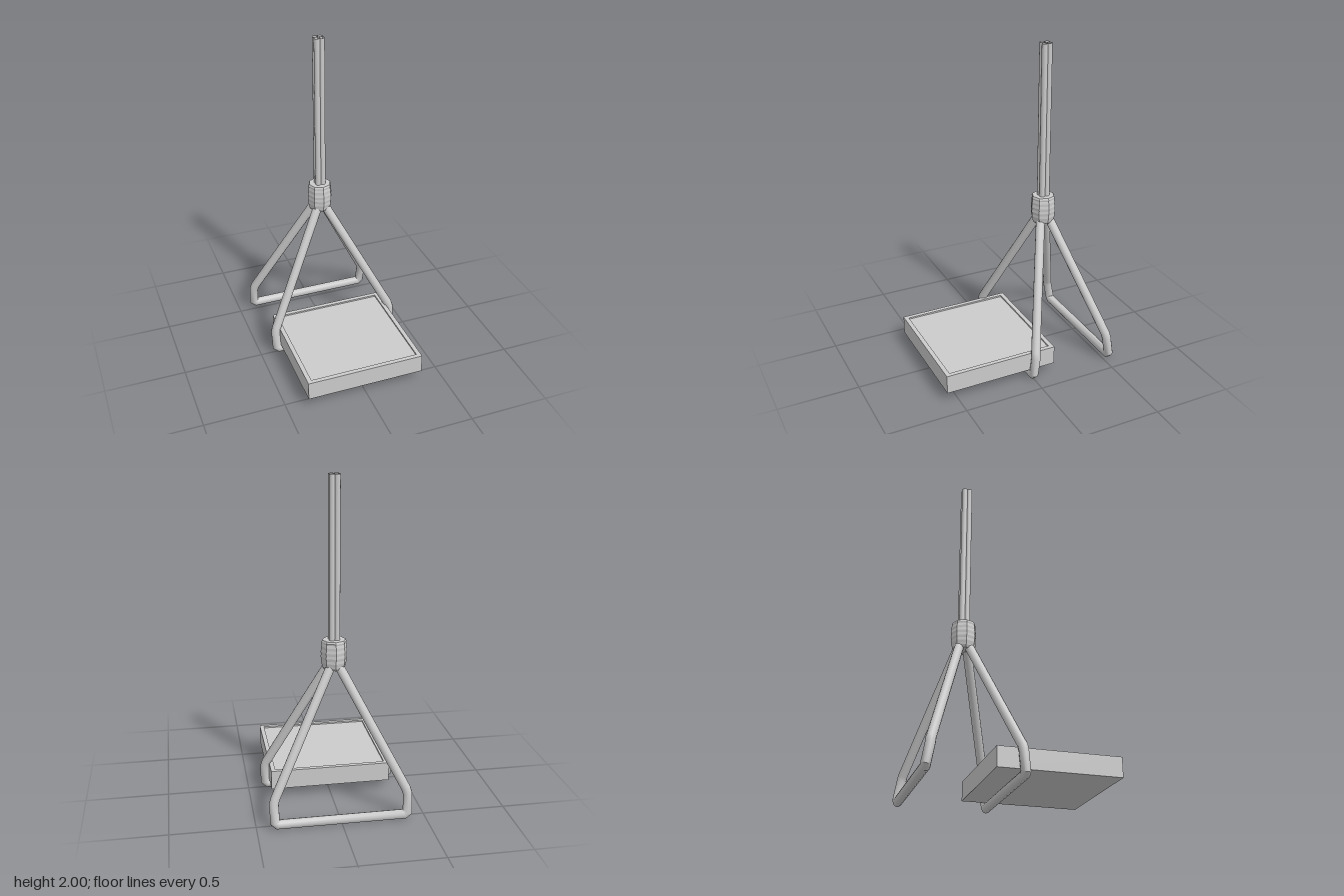
import * as THREE from 'three';
import { toCreasedNormals } from 'three/addons/utils/BufferGeometryUtils.js';

const material = new THREE.MeshStandardMaterial({ color: 0xcccccc, side: THREE.DoubleSide });
const flatMaterial = new THREE.MeshStandardMaterial({ color: 0xcccccc, flatShading: true });
const AXIS_Z = -0.255;

function add(parent, name, geometry, mat = material) {
  const mesh = new THREE.Mesh(geometry, mat);
  mesh.name = name;
  parent.add(mesh);
  return mesh;
}

// Round bar along a polyline, with mitred corners
function mitredTube(points, radius, sides = 12) {
  const dirs = points.slice(1).map((p, i) => p.clone().sub(points[i]).normalize());
  const u = new THREE.Vector3(0, 0, 1).cross(dirs[0]).normalize();
  const w = dirs[0].clone().cross(u);
  let ring = [];
  for (let j = 0; j < sides; j++) {
    const a = (j / sides) * Math.PI * 2;
    ring.push(points[0].clone().addScaledVector(u, radius * Math.cos(a)).addScaledVector(w, radius * Math.sin(a)));
  }
  const position = [], index = [];
  ring.forEach(v => position.push(v.x, v.y, v.z));
  dirs.forEach((dir, i) => {
    // slide the ring along the segment onto the mitre plane at its end
    const mitre = dir.clone().add(dirs[i + 1] ?? dir).normalize();
    ring = ring.map(v => {
      const t = points[i + 1].clone().sub(v).dot(mitre) / dir.dot(mitre);
      return v.clone().addScaledVector(dir, t);
    });
    ring.forEach(v => position.push(v.x, v.y, v.z));
    for (let j = 0; j < sides; j++) {
      const a = i * sides + j, b = i * sides + (j + 1) % sides;
      index.push(a, b, a + sides, b, b + sides, a + sides);
    }
  });
  const geometry = new THREE.BufferGeometry();
  geometry.setAttribute('position', new THREE.Float32BufferAttribute(position, 3));
  geometry.setIndex(index);
  return toCreasedNormals(geometry, 0.75);
}

// Closed hanging loop: two sloping legs, short uprights and a bottom bar
function loopGeometry(zTop, zKnee, zFoot) {
  const half = [
    [0.004, 0.93, zTop],
    [0.386, 0.187, zKnee],
    [0.396, 0.155, zKnee + (zFoot - zKnee) * 0.2],
    [0.393, 0.047, zFoot],
    [0.376, 0.031, zFoot],
  ].map(p => new THREE.Vector3(...p));
  const mirrored = half.map(p => new THREE.Vector3(-p.x, p.y, p.z)).reverse();
  return mitredTube([...half, ...mirrored], 0.028);
}

export function createModel() {
  const model = new THREE.Group();
  model.name = 'hangingSwing';

  // Seat board with a low raised rim
  const seat = new THREE.Group();
  seat.name = 'seat';
  seat.position.z = 0.207;
  model.add(seat);
  add(seat, 'seatBoard', new THREE.BoxGeometry(0.74, 0.108, 0.72)).position.y = 0.116;

  const rect = (shape, x, y) => shape.moveTo(-x, -y).lineTo(x, -y).lineTo(x, y).lineTo(-x, y).closePath();
  const rimShape = rect(new THREE.Shape(), 0.37, 0.36);
  rimShape.holes.push(rect(new THREE.Path(), 0.343, 0.333));
  const rim = add(seat, 'seatRim', new THREE.ExtrudeGeometry(rimShape, { depth: 0.01, bevelEnabled: false }));
  rim.rotation.x = -Math.PI / 2;
  rim.position.y = 0.17;

  // Front and rear support loops
  add(model, 'frontLoop', loopGeometry(-0.238, -0.014, 0));
  add(model, 'rearLoop', loopGeometry(-0.272, -0.512, -0.536));

  // Eight-sided binding with shallow ribs
  const profile = [[0, 0.87], [0.062, 0.87], [0.07, 0.885]];
  for (let i = 0; i <= 8; i++) {
    const t = i / 8;
    profile.push([0.072 + 0.005 * Math.sin(t * Math.PI) + (i % 2 ? 0.002 : 0), 0.897 + t * 0.128]);
  }
  profile.push([0.074, 1.035], [0.069, 1.046], [0, 1.046]);
  const binding = add(model, 'binding',
    new THREE.LatheGeometry(profile.map(p => new THREE.Vector2(...p)), 8), flatMaterial);
  binding.position.z = AXIS_Z;

  // Rope made of four strands, open at the top
  const rope = new THREE.Group();
  rope.name = 'rope';
  rope.position.set(0, 1.5, AXIS_Z);
  model.add(rope);
  for (const sx of [-1, 1]) for (const sz of [-1, 1]) {
    const strand = add(rope, 'ropeStrand', new THREE.CylinderGeometry(0.0185, 0.0185, 1, 12, 1, true));
    strand.position.set(sx * 0.0145, 0, sz * 0.0145);
  }
  return model;
}
